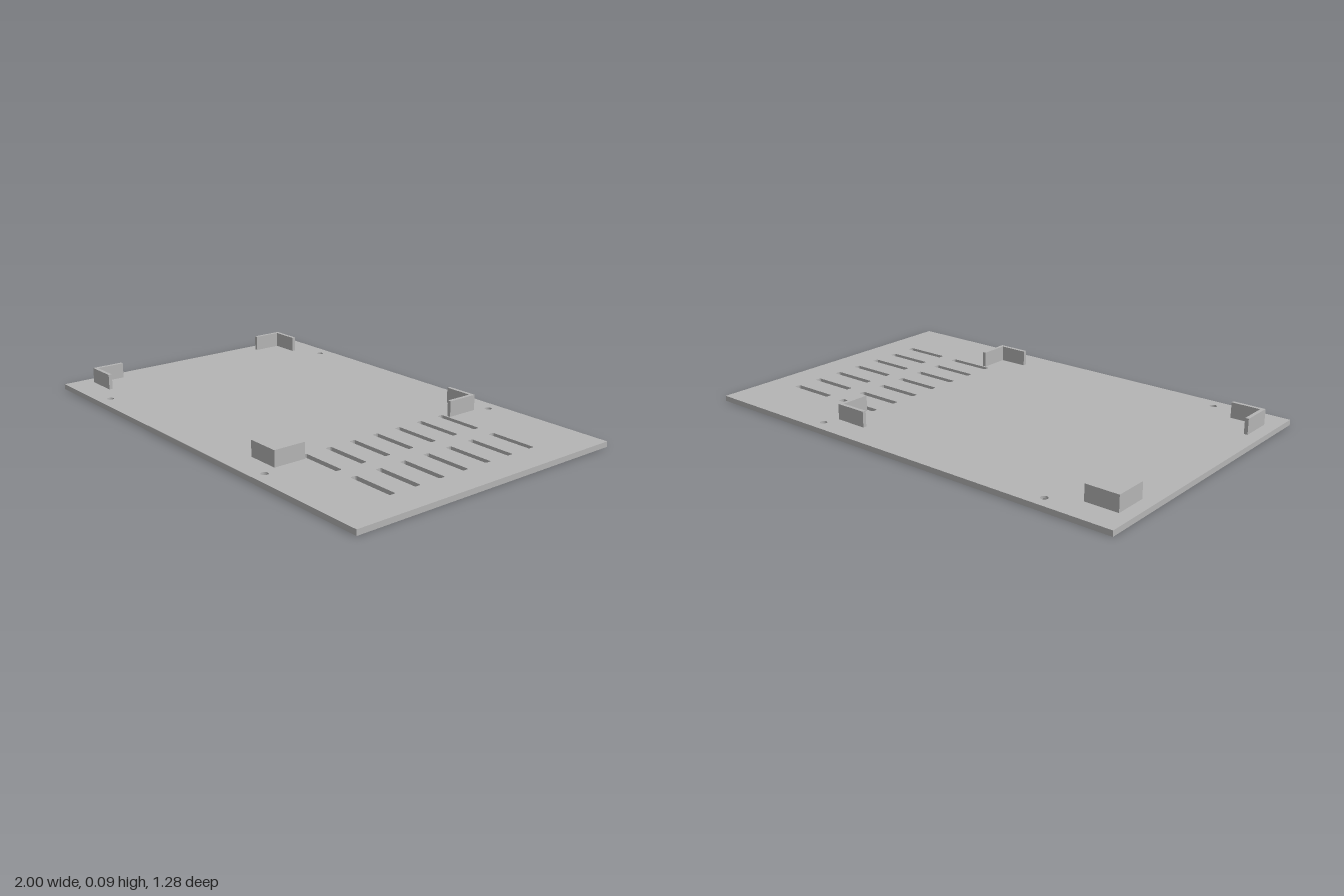
import * as THREE from 'three';

const THICK = 0.023, TOP = 0.09, HALF_X = 1, HALF_Z = 0.64;

// Closed outlines, counter-clockwise seen from above (plan y = -z)
const circle = (cx, cy, r, n = 24) => Array.from({ length: n }, (_, i) => {
  const a = (i / n) * Math.PI * 2;
  return new THREE.Vector2(cx + r * Math.cos(a), cy + r * Math.sin(a));
});
const rect = (cx, cy, hx, hy, c = 0) => {
  const pts = c
    ? [[-hx + c, -hy], [hx - c, -hy], [hx, -hy + c], [hx, hy - c], [hx - c, hy], [-hx + c, hy], [-hx, hy - c], [-hx, -hy + c]]
    : [[-hx, -hy], [hx, -hy], [hx, hy], [-hx, hy]];
  return pts.map(([x, y]) => new THREE.Vector2(cx + x, cy + y));
};

// Flat-shaded wall between two outlines; reversed outlines give inward walls
function wall(low, y0, high, y1) {
  const pos = [];
  low.forEach((a, i) => {
    const j = (i + 1) % low.length, b = low[j], c = high[j], d = high[i];
    const A = [a.x, y0, -a.y], B = [b.x, y0, -b.y], C = [c.x, y1, -c.y], D = [d.x, y1, -d.y];
    pos.push(...A, ...B, ...C, ...A, ...C, ...D);
  });
  const g = new THREE.BufferGeometry();
  g.setAttribute('position', new THREE.Float32BufferAttribute(pos, 3));
  g.computeVertexNormals();
  return g;
}

function sheet(outline, holes, y, up) {
  const s = new THREE.Shape(outline);
  s.holes = holes.map((h) => new THREE.Path(h));
  return new THREE.ShapeGeometry(s).rotateX(up ? -Math.PI / 2 : Math.PI / 2).translate(0, y, 0);
}

export function createModel() {
  const model = new THREE.Group();
  model.name = 'ventedBasePlate';
  const grey = new THREE.MeshStandardMaterial({ color: 0xb4b4b4 });
  grey.name = 'plain grey';
  const add = (parent, name, geometry) => {
    const m = new THREE.Mesh(geometry, grey);
    m.name = name;
    parent.add(m);
  };

  // Two columns of seven ventilation slots
  const slots = [];
  for (const x of [0.478, 0.76])
    for (let i = -3; i <= 3; i++) slots.push(rect(x, i * 0.1193, 0.103, 0.0135, 0.004));

  // Four screw holes, countersunk from below
  const screws = [];
  for (const x of [-0.68, 0.438]) for (const z of [-0.584, 0.584]) screws.push([x, z]);
  const small = screws.map(([x, z]) => circle(x, z, 0.015));
  const large = screws.map(([x, z]) => circle(x, z, 0.025));

  // Plate
  const plate = new THREE.Group();
  plate.name = 'plate';
  model.add(plate);
  const outline = rect(0, 0, HALF_X, HALF_Z);
  add(plate, 'plateTop', sheet(outline, [...slots, ...small], THICK, true));
  add(plate, 'plateUnderside', sheet(outline, [...slots, ...large], 0, false));
  add(plate, 'plateEdge', wall(outline, 0, outline, THICK));
  for (const s of slots) {
    const r = [...s].reverse();
    add(plate, 'ventSlotWall', wall(r, 0, r, THICK));
  }
  small.forEach((s, i) => {
    const r = [...s].reverse(), R = [...large[i]].reverse();
    add(plate, 'countersink', wall(R, 0, r, 0.012));
    add(plate, 'screwHoleWall', wall(r, 0.012, r, THICK));
  });

  // Four L-shaped corner brackets, arms pointing inward
  const L = 0.142, T = 0.016;
  for (const [x, sx] of [[-0.944, 1], [0.414, -1]])
    for (const sz of [-1, 1]) {
      const pts = [[0, 0], [L, 0], [L, T], [T, T], [T, L], [0, L]]
        .map(([u, v]) => new THREE.Vector2(x + sx * u, sz * (0.522 - v)));
      const g = new THREE.ExtrudeGeometry(new THREE.Shape(pts), { depth: TOP - THICK, bevelEnabled: false });
      add(model, 'cornerBracket', g.rotateX(-Math.PI / 2).translate(0, THICK, 0));
    }
  return model;
}
